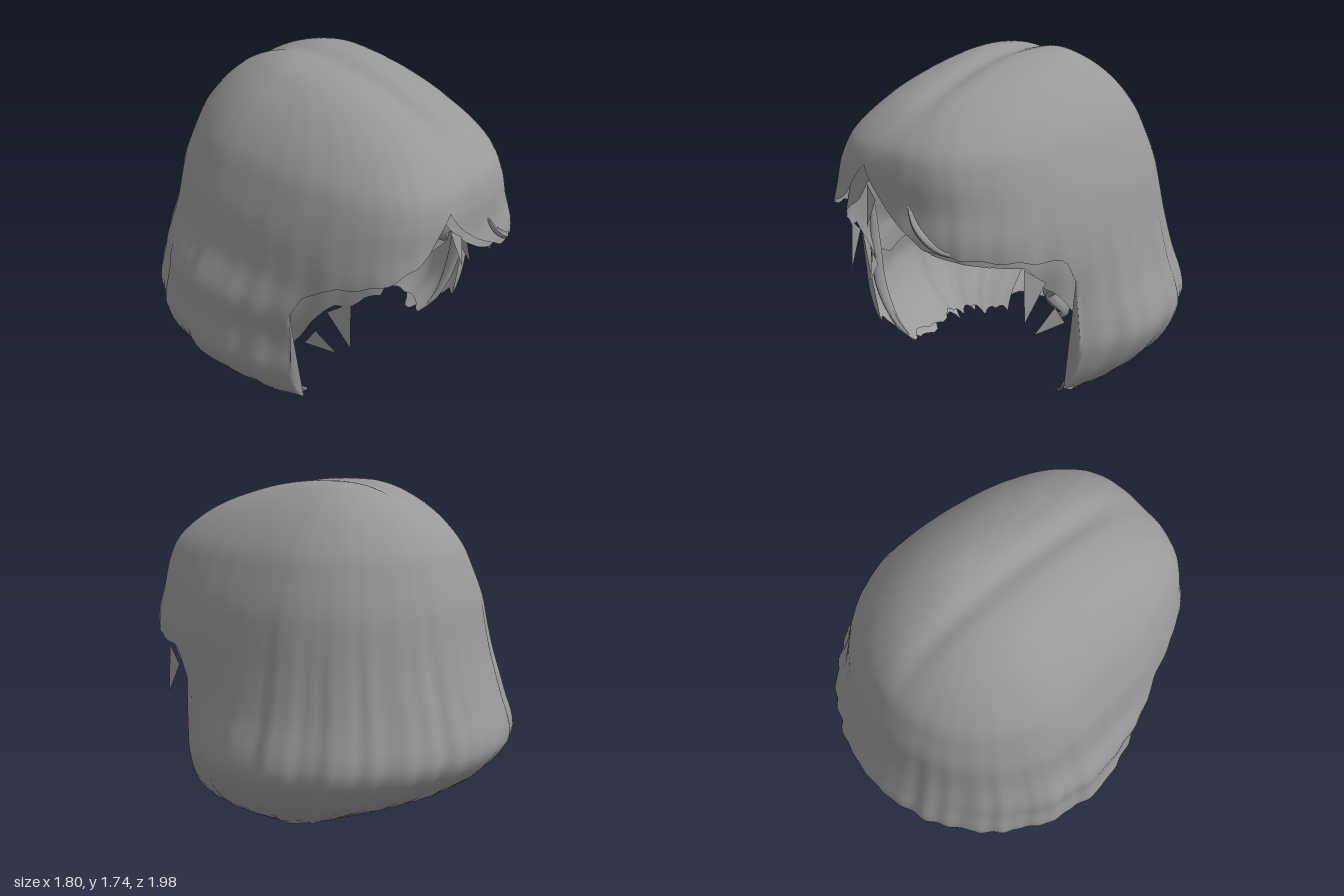
import * as THREE from 'three';
import { mergeVertices } from 'three/addons/utils/BufferGeometryUtils.js';

const TOP = 1.745, ZC = -0.1, RAD = Math.PI / 180;
const hair = new THREE.MeshStandardMaterial({ color: 0x999999, side: THREE.DoubleSide });
hair.name = 'hair grey';

// Cross-sections from crown to hem: height, half width, front z, back z, front squareness
const LEVELS = [
  [1.745, 0, -0.1, -0.1, 0.9], [1.735, 0.18, 0.12, -0.24, 0.9], [1.67, 0.335, 0.44, -0.43, 0.85],
  [1.57, 0.46, 0.7, -0.58, 0.78], [1.42, 0.585, 0.89, -0.71, 0.68], [1.3, 0.645, 0.94, -0.765, 0.65],
  [1.15, 0.705, 0.955, -0.82, 0.65], [1.0, 0.74, 0.985, -0.85, 0.65], [0.85, 0.77, 0.975, -0.885, 0.75],
  [0.65, 0.82, 0.96, -0.945, 1.25], [0.48, 0.88, 0.96, -0.995, 1.65], [0.38, 0.89, 0.96, -0.97, 1.7],
  [0.22, 0.81, 0.96, -0.8, 1.5], [0.1, 0.68, 0.93, -0.52, 1.2], [0, 0.5, 0.74, -0.3, 0.8],
];
const toU = y => Math.sqrt(Math.max(0, TOP - y) / TOP);
const KEYS = LEVELS.map(l => toU(l[0]));

// Smooth interpolation of one column of the table
function level(u, c) {
  let i = 0;
  while (i < KEYS.length - 2 && u > KEYS[i + 1]) i++;
  const slope = k => {
    const a = Math.max(0, k - 1), b = Math.min(KEYS.length - 1, k + 1);
    return (LEVELS[b][c] - LEVELS[a][c]) / (KEYS[b] - KEYS[a]);
  };
  const h = KEYS[i + 1] - KEYS[i], t = (u - KEYS[i]) / h, t2 = t * t, t3 = t2 * t;
  return (2 * t3 - 3 * t2 + 1) * LEVELS[i][c] + (t3 - 2 * t2 + t) * h * slope(i)
    + (3 * t2 - 2 * t3) * LEVELS[i + 1][c] + (t3 - t2) * h * slope(i + 1);
}

// Piecewise linear lookup
function lookup(pts, x) {
  if (x <= pts[0][0]) return pts[0][1];
  for (let i = 1; i < pts.length; i++) {
    if (x <= pts[i][0]) {
      const [a, b] = [pts[i - 1], pts[i]];
      return a[1] + (b[1] - a[1]) * (x - a[0]) / (b[0] - a[0]);
    }
  }
  return pts[pts.length - 1][1];
}

// Point on the hair volume at an angle from the front (degrees) and depth u
function hairPoint(deg, u, scale, drop) {
  const a = deg * RAD, s = Math.sin(a), c = Math.cos(a);
  let y = TOP * (1 - u * u);
  const low = THREE.MathUtils.smoothstep(u, 0.5, 0.9);
  // The fringe is fuller on the right than on the left
  const p = c > 0 ? level(u, 4) * (1 + (s < 0 ? -0.2 : 0.15) * (1 - low)) : 1;
  const ridge = 0.45 * Math.sin(a * 29 + 2.5 * Math.sin(a * 5)) + 0.35 * Math.sin(a * 17 + 1.3 + u * 2)
    + 0.2 * Math.sin(a * 47 + 3 * Math.sin(a * 3));
  const k = scale * (1 + ridge * (0.002 + 0.011 * low));
  let x = Math.sign(s) * Math.pow(Math.abs(s), p) * level(u, 1) * k;
  const z = ZC + (c > 0 ? level(u, 2) - ZC : ZC - level(u, 3)) * c * k;
  // Swell on the right side above the hem
  if (s < 0) x += 0.055 * s * s * s * Math.exp(-(((y - 0.73) / 0.14) ** 2));
  // Shallow parting on the crown
  y -= 0.025 * Math.exp(-((x / 0.07) ** 2)) * THREE.MathUtils.smoothstep(y, 1.4, 1.7);
  return [x, y - drop, z];
}

// Sheet of hair between two angles, from topY down to hemY(deg); rows stop at the hem
function sheet(name, from, to, cols, rows, topY, hemY, scale = 1, drop = 0) {
  const pos = [], idx = [], u0 = toU(topY);
  for (let i = 0; i <= cols; i++) {
    const deg = from + (to - from) * i / cols, hem = toU(hemY(deg));
    for (let j = 0; j <= rows; j++) {
      pos.push(...hairPoint(deg, Math.min(u0 + (1 - u0) * j / rows, hem), scale, drop));
      if (i < cols && j < rows) {
        const a = i * (rows + 1) + j, b = a + rows + 1;
        idx.push(a, a + 1, b, b, a + 1, b + 1);
      }
    }
  }
  let geo = new THREE.BufferGeometry();
  geo.setAttribute('position', new THREE.Float32BufferAttribute(pos, 3));
  geo.setIndex(idx);
  geo = mergeVertices(geo, 1e-4);
  // Drop the collapsed triangles below the hem
  const kept = [], id = geo.index.array;
  for (let i = 0; i < id.length; i += 3) {
    const [a, b, c] = [id[i], id[i + 1], id[i + 2]];
    if (a !== b && b !== c && a !== c) kept.push(a, b, c);
  }
  geo.setIndex(kept);
  geo.computeVertexNormals();
  const mesh = new THREE.Mesh(geo, hair);
  mesh.name = name;
  return mesh;
}

// Lower edges: fringe by x, its outer corner, sides and back by angle
const FRINGE = [[-0.7, 0.89], [-0.62, 0.97], [-0.5, 1.03], [-0.32, 1.15], [-0.2, 1.32], [-0.1, 1.2], [0, 1.11],
  [0.1, 1.04], [0.2, 0.99], [0.4, 0.95], [0.55, 0.92], [0.7, 0.87]];
const CORNER = [[46, 1.0], [52, 0.93], [57, 0.87], [60, 0.76]];
const SKIRT = [[61, 0.13], [64, 0.14], [66, 0.08], [69, 0.01], [100, 0.015], [125, 0.045], [145, 0.07], [155, 0.1], [180, 0.1]];
const fringeX = deg => Math.sign(deg) * 0.74 * Math.pow(Math.abs(Math.sin(deg * RAD)), deg < 0 ? 0.54 : 0.72);
const teeth = deg => Math.abs(Math.sin(deg * 0.13 + 0.4)) * 0.7 + Math.abs(Math.sin(deg * 0.29 + 1)) * 0.3;
function outerHem(deg) {
  const d = Math.abs(deg);
  if (d < 60.5) {
    const y = lookup(FRINGE, fringeX(deg)) + 0.006 * Math.sin(deg * 0.5);
    return d > 46 ? Math.min(y, lookup(CORNER, d)) : y;
  }
  return Math.max(0, lookup(SKIRT, d) + (d > 150 ? 0.012 : 0.05) * (teeth(deg) - 0.45));
}
const CAP = [[36, 0.95], [46, 0.87], [54, 0.74], [62, 0.56], [100, 0.5], [130, 0.52], [146, 0.75], [155, 0.73],
  [180, 0.74]];
function capHem(deg) {
  const d = Math.abs(deg);
  const front = lookup(FRINGE, fringeX(deg)) - 0.01;
  const side = lookup(CAP, d) + 0.025 * Math.sin(deg * 0.35);
  return d < 30 ? front : Math.min(front, side);
}

// Tapered, flattened lock following a path
function lock(name, pts, r) {
  const curve = new THREE.CatmullRomCurve3(pts.map(p => new THREE.Vector3(...p)));
  const geo = new THREE.TubeGeometry(curve, 24, r, 8);
  const pos = geo.attributes.position, v = new THREE.Vector3();
  for (let i = 0; i < pos.count; i++) {
    const t = Math.floor(i / 9) / 24, c = curve.getPointAt(t);
    v.fromBufferAttribute(pos, i).sub(c).multiplyScalar(Math.max(0.02, Math.sin(Math.PI * (0.12 + 0.88 * t))));
    v.x *= 0.6;
    pos.setXYZ(i, c.x + v.x, c.y + v.y, c.z + v.z);
  }
  geo.computeVertexNormals();
  const mesh = new THREE.Mesh(geo, hair);
  mesh.name = name;
  return mesh;
}

// Thin pointed wisp
function wisp(name, a, b, c) {
  const geo = new THREE.BufferGeometry();
  geo.setAttribute('position', new THREE.Float32BufferAttribute([...a, ...b, ...c], 3));
  geo.computeVertexNormals();
  const mesh = new THREE.Mesh(geo, hair);
  mesh.name = name;
  return mesh;
}

export function createModel() {
  const group = new THREE.Group();
  group.name = 'bobHair';
  group.add(sheet('outerHair', -180, 180, 360, 72, TOP, outerHem));
  group.add(sheet('innerCap', -180, 180, 180, 48, TOP, capHem, 0.94, 0.04));

  for (const s of [-1, 1]) {
    const side = s > 0 ? 'left' : 'right';
    // Inner side layer behind the face opening, its back edge slanting to the hem
    const a = s > 0 ? 63 : -150, b = s > 0 ? 150 : -63;
    group.add(sheet(side + 'InnerLayer', a, b, 87, 32, 0.7,
      d => Math.max(0, 0.03 + 0.04 * (teeth(d + 7) - 0.4)), 0.94));
    // Locks framing the face
    group.add(lock(side + 'FrontLock',
      [[s * 0.68, 0.88, 0.38], [s * 0.69, 0.6, 0.36], [s * 0.67, 0.35, 0.35], [s * 0.58, 0.14, 0.33], [s * 0.48, 0.01, 0.28]], 0.04));
    // Loose wisps under the fringe
    group.add(wisp(side + 'UpperWisp', [s * 0.55, 0.87, 0.67], [s * 0.6, 0.78, 0.56], [s * 0.56, 0.6, 0.68]));
    group.add(wisp(side + 'LowerWisp', [s * 0.6, 0.62, 0.48], [s * 0.62, 0.52, 0.42], [s * 0.54, 0.49, 0.57]));
  }
  // Fringe strand, a wisp at the parting and a curl at the temple
  group.add(lock('fringeStrand', [[0.08, 1.2, 0.93], [0.16, 1.08, 0.96], [0.28, 0.99, 0.94], [0.42, 0.95, 0.84]], 0.022));
  group.add(wisp('partingWisp', [-0.17, 1.22, 0.93], [-0.1, 1.16, 0.95], [-0.13, 1.03, 0.985]));
  group.add(lock('templeCurl', [[0.5, 0.9, 0.42], [0.57, 0.76, 0.4], [0.5, 0.64, 0.36], [0.57, 0.55, 0.34], [0.48, 0.46, 0.32]], 0.06));
  return group;
}
